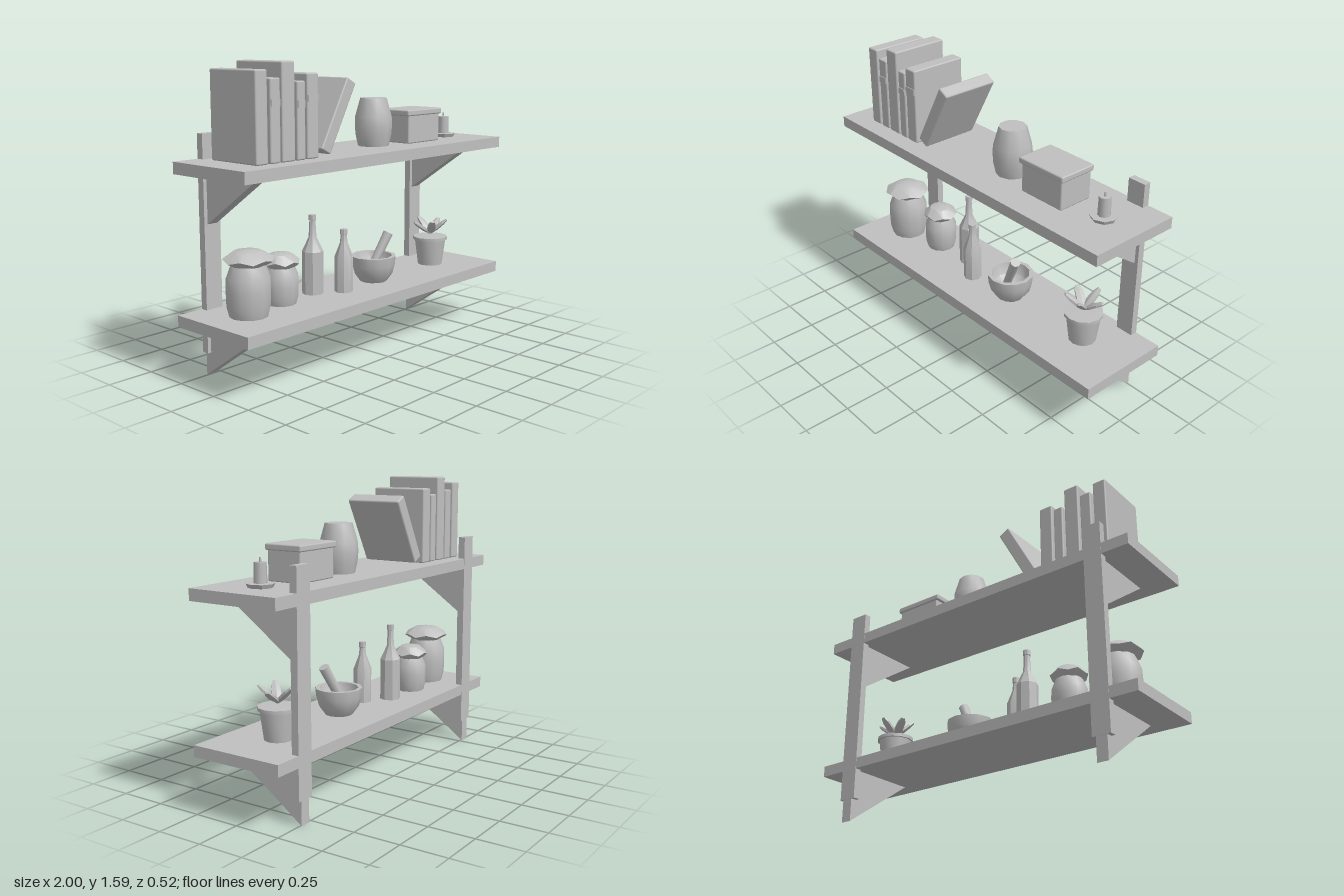
import * as THREE from 'three';
import { toCreasedNormals } from 'three/addons/utils/BufferGeometryUtils.js';
import { RoundedBoxGeometry } from 'three/addons/geometries/RoundedBoxGeometry.js';

export function createModel() {
  const model = new THREE.Group();
  const grey = new THREE.MeshStandardMaterial({ color: 0xbfbfbf });
  grey.name = 'plain grey';

  const add = (name, geometry, x = 0, y = 0, z = 0, parent = model) => {
    const mesh = new THREE.Mesh(geometry, grey);
    mesh.name = name;
    mesh.position.set(x, y, z);
    parent.add(mesh);
    return mesh;
  };
  const group = (name, x, y, z) => {
    const g = new THREE.Group();
    g.name = name;
    g.position.set(x, y, z);
    model.add(g);
    return g;
  };
  // Turned form from [radius, height] pairs, listed bottom to top
  const turned = (points, sides, crease = 0.7) => toCreasedNormals(
    new THREE.LatheGeometry(points.map(p => new THREE.Vector2(...p)), sides), crease);

  const lowerTop = 0.35, upperTop = 1.11, thick = 0.06;

  // Shelf boards
  for (const [name, top] of [['lowerShelf', lowerTop], ['upperShelf', upperTop]])
    add(name, new THREE.BoxGeometry(2, thick, 0.515), 0, top - thick / 2, 0);

  // Uprights and triangular brackets
  const triangle = new THREE.Shape([[-0.16, 0], [0.257, 0], [0.257, -0.29]]
    .map(p => new THREE.Vector2(...p)));
  const bracket = new THREE.ExtrudeGeometry(triangle, { depth: 0.06, bevelEnabled: false });
  bracket.translate(0, 0, -0.03).rotateY(Math.PI / 2);
  for (const side of [-1, 1]) {
    add('upright', new THREE.BoxGeometry(0.1, 1.11, 0.039), side * 0.8, 0.68, -0.2395);
    for (const top of [lowerTop, upperTop]) add('bracket', bracket, side * 0.8, top - thick, 0);
  }

  // Books: [centre x, thickness, height, has spine band]
  const books = [
    [-0.803, 0.075, 0.44, false], [-0.717, 0.065, 0.4, true], [-0.632, 0.085, 0.475, false],
    [-0.548, 0.056, 0.38, true], [-0.47, 0.078, 0.415, true],
  ];
  for (const [x, w, h, band] of books) {
    add('book', new RoundedBoxGeometry(w, h, 0.325, 1, 0.008), x, upperTop + h / 2, -0.002);
    if (band) add('spineBand', new THREE.BoxGeometry(w - 0.008, 0.035, 0.006), x, upperTop + h * 0.71, 0.161);
  }
  const leaning = add('leaningBook', new RoundedBoxGeometry(0.07, 0.395, 0.325, 1, 0.008), -0.285, 1.308, -0.002);
  leaning.rotation.z = -0.497;

  // Vase
  add('vase', turned([[0, 0], [0.085, 0], [0.098, 0.06], [0.102, 0.11], [0.1, 0.16], [0.072, 0.26], [0, 0.26]], 10),
    0.16, upperTop, -0.003);

  // Lidded box
  add('boxBody', new RoundedBoxGeometry(0.275, 0.165, 0.2, 1, 0.008), 0.477, upperTop + 0.082, 0);
  add('boxLid', new RoundedBoxGeometry(0.3, 0.033, 0.218, 1, 0.008), 0.475, 1.28, 0);

  // Candle on a round holder
  const candle = group('candle', 0.795, upperTop, -0.005);
  add('candleDish', turned([[0, 0], [0.06, 0], [0.07, 0.02], [0, 0.022]], 8, 0.3), 0, 0, 0, candle);
  add('candleStick', new THREE.CylinderGeometry(0.03, 0.032, 0.1, 8), 0, 0.07, 0, candle);
  add('wick', new THREE.CylinderGeometry(0.005, 0.006, 0.025, 5), 0, 0.13, 0, candle);

  // Jars with scalloped cloth covers
  const jar = (x, z, r, h, rimR) => {
    const g = group('jar', x, lowerTop, z);
    add('jarBody', turned([[0, 0], [r * 0.86, 0], [r * 0.98, h * 0.2], [r, h * 0.5],
      [r * 0.98, h * 0.74], [r * 0.75, h], [0, h]], 12), 0, 0, 0, g);
    const cover = new THREE.LatheGeometry([[r * 0.72, -0.012], [rimR, 0.02], [r * 0.62, 0.06], [0, 0.068]]
      .map(p => new THREE.Vector2(...p)), 12);
    const p = cover.attributes.position;
    for (let i = 0; i < p.count; i++) {
      const px = p.getX(i), pz = p.getZ(i);
      if (Math.hypot(px, pz) > rimR * 0.95)
        p.setY(i, p.getY(i) + 0.008 * Math.cos(6 * Math.atan2(px, pz)));
    }
    add('clothCover', toCreasedNormals(cover, 0.6), 0, h, 0, g);
  };
  jar(-0.765, 0, 0.113, 0.265, 0.127);
  jar(-0.505, -0.045, 0.092, 0.2, 0.097);

  // Bottles
  const bottle = (x, z, r, body, h) => add('bottle', turned([[0, 0], [r, 0], [r, body],
    [0.021, body + 0.075], [0.016, h - 0.03], [0.02, h - 0.028], [0.02, h], [0, h]], 8, 0.4), x, lowerTop, z);
  bottle(-0.26, -0.06, 0.057, 0.23, 0.425);
  bottle(-0.12, 0.035, 0.05, 0.19, 0.34);

  // Mortar and pestle
  const mortar = group('mortarAndPestle', 0.16, lowerTop, 0);
  add('mortar', turned([[0, 0], [0.075, 0], [0.108, 0.045], [0.122, 0.095], [0.127, 0.145],
    [0.105, 0.145], [0.09, 0.08], [0.05, 0.045], [0, 0.04]], 12), 0, 0, 0, mortar);
  const pestle = add('pestle', new THREE.CylinderGeometry(0.028, 0.022, 0.24, 8), 0.025, 0.16, 0.02, mortar);
  pestle.quaternion.setFromUnitVectors(new THREE.Vector3(0, 1, 0), new THREE.Vector3(0.085, 0.16, 0.03).normalize());

  // Potted plant with blunt thick leaves
  const plant = group('pottedPlant', 0.695, lowerTop, -0.015);
  add('pot', turned([[0, 0], [0.072, 0], [0.092, 0.15], [0.102, 0.15], [0.102, 0.168], [0, 0.172]], 12), 0, 0, 0, plant);
  const leaf = toCreasedNormals(turned([[0, 0], [0.012, 0], [0.027, 0.05], [0.024, 0.1], [0.012, 0.13], [0, 0.13]], 6, 0.2)
    .scale(1, 1, 0.5), 0.2);
  for (let i = 0; i < 5; i++) {
    const blade = add('leaf', leaf, 0, 0.185, 0, plant);
    blade.rotation.order = 'YXZ';
    blade.rotation.set(0.85 + 0.12 * (i % 2), 0.5 + i * Math.PI * 0.4, 0);
  }
  return model;
}
